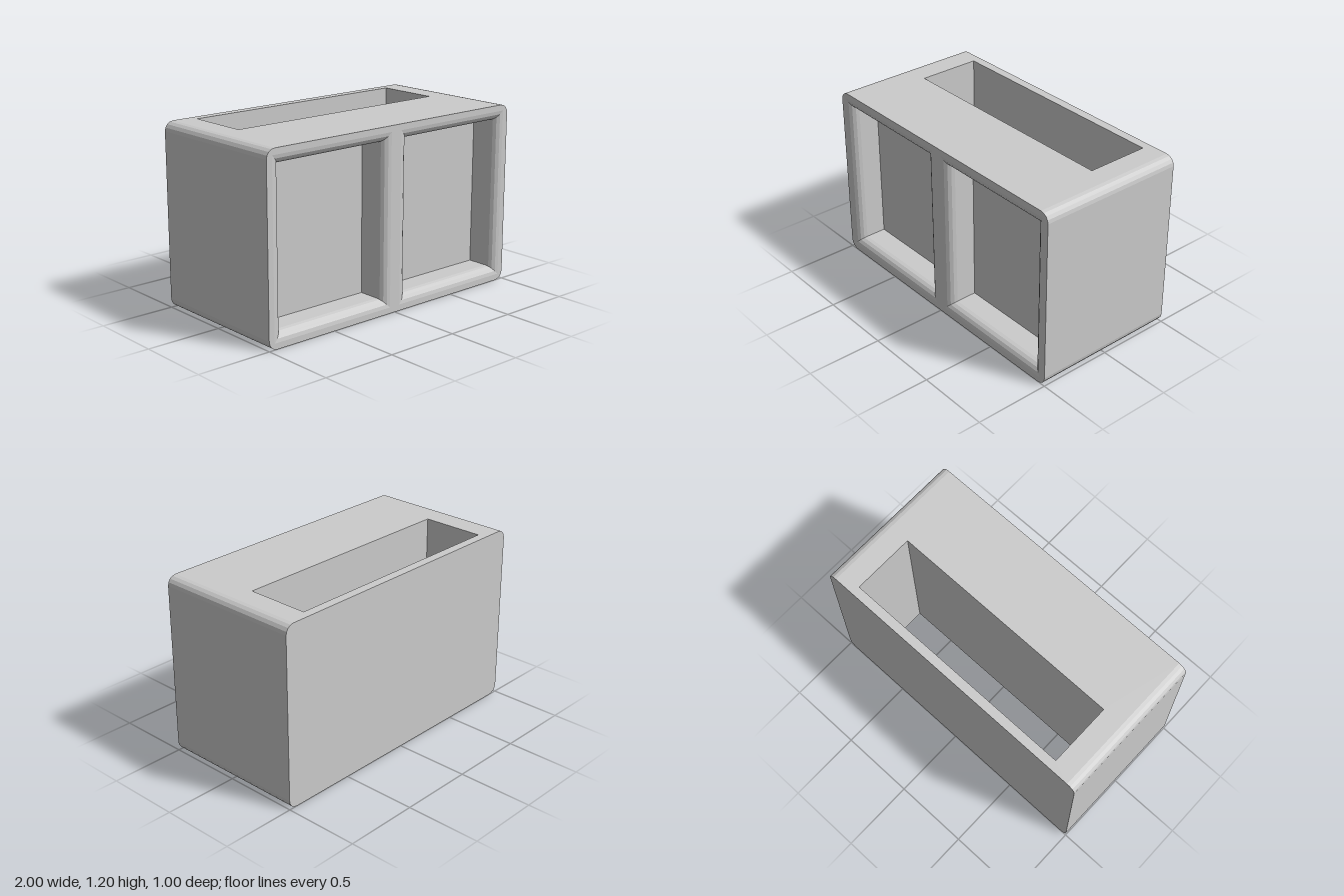
import * as THREE from 'three';

const W = 1, H = 1.2, D = 0.5, R = 0.06, STEPS = 4;
const material = new THREE.MeshStandardMaterial({ color: 0xcccccc, flatShading: true });

function addPart(group, name, geometry) {
  const mesh = new THREE.Mesh(geometry, material);
  mesh.name = name;
  group.add(mesh);
  return mesh;
}

// Joins matching closed loops of Vector3 with flat quads, leaving out the skipped edges
function loft(loops, skip = []) {
  const points = [];
  for (let k = 0; k + 1 < loops.length; k++) {
    const a = loops[k], b = loops[k + 1];
    for (let i = 0; i < a.length; i++) {
      if (skip.includes(i)) continue;
      const j = (i + 1) % a.length;
      points.push(a[i], b[i], b[j], a[i], b[j], a[j]);
    }
  }
  const geometry = new THREE.BufferGeometry().setFromPoints(points);
  geometry.computeVertexNormals();
  return geometry;
}

// Clockwise rectangle corners
const rect = (x0, x1, y0, y1) => [[x0, y0], [x0, y1], [x1, y1], [x1, y0]].map(p => new THREE.Vector2(...p));
const atZ = (loop, z) => loop.map(p => new THREE.Vector3(p.x, p.y, z));

// Counter-clockwise body outline with rounded corners
function outline() {
  const centres = [[W - R, R], [W - R, H - R], [R - W, H - R], [R - W, R]];
  return centres.flatMap(([x, y], c) => Array.from({ length: STEPS + 1 }, (_, i) => {
    const t = (c - 1 + i / STEPS) * Math.PI / 2;
    return new THREE.Vector2(x + R * Math.cos(t), y + R * Math.sin(t));
  }));
}

export function createModel() {
  const group = new THREE.Group();
  group.name = 'doubleBlock';
  const body = outline();
  const windows = [-0.5, 0.5];
  const opening = (cx, grow) => rect(cx - 0.4 - grow, cx + 0.4 + grow, 0.1 - grow, 1.1 + grow);

  // Sides and rounded long edges; the flat top and bottom are separate
  const n = STEPS + 1;
  addPart(group, 'sides', loft([atZ(body, D), atZ(body, -D)], [2 * n - 1, 4 * n - 1]));

  // Front frame and plain back
  const front = new THREE.Shape(body);
  windows.forEach(cx => front.holes.push(new THREE.Path(opening(cx, R))));
  addPart(group, 'frontFrame', new THREE.ShapeGeometry(front)).position.z = D;
  const back = addPart(group, 'back', new THREE.ShapeGeometry(new THREE.Shape(body)));
  back.rotation.y = Math.PI;
  back.position.z = -D;

  // Recessed windows with rounded rims
  windows.forEach((cx, w) => {
    const loops = [];
    for (let i = 0; i <= STEPS; i++) {
      const t = i / STEPS * Math.PI / 2;
      loops.push(atZ(opening(cx, R * (1 - Math.sin(t))), D - R * (1 - Math.cos(t))));
    }
    loops.push(atZ(opening(cx, 0), 0.3));
    const side = w ? 'left' : 'right';
    addPart(group, side + 'WindowRim', loft(loops));
    addPart(group, side + 'WindowPanel', new THREE.PlaneGeometry(0.8, 1)).position.set(cx, 0.6, 0.3);
  });

  // Flat top and bottom, pierced by the slot near the back
  for (const top of [true, false]) {
    const s = top ? 1 : -1;
    const face = new THREE.Shape(rect(R - W, W - R, -D, D));
    face.holes.push(new THREE.Path(rect(-0.8, 0.8, ...[0.02 * s, 0.44 * s].sort((a, b) => a - b))));
    const mesh = addPart(group, top ? 'top' : 'bottom', new THREE.ShapeGeometry(face));
    mesh.rotation.x = -s * Math.PI / 2;
    mesh.position.y = top ? H : 0;
  }

  // Inner walls of the slot
  const slot = y => [[-0.8, -0.44], [0.8, -0.44], [0.8, -0.02], [-0.8, -0.02]]
    .map(([x, z]) => new THREE.Vector3(x, y, z));
  addPart(group, 'slotWalls', loft([slot(H), slot(0)]));

  return group;
}
